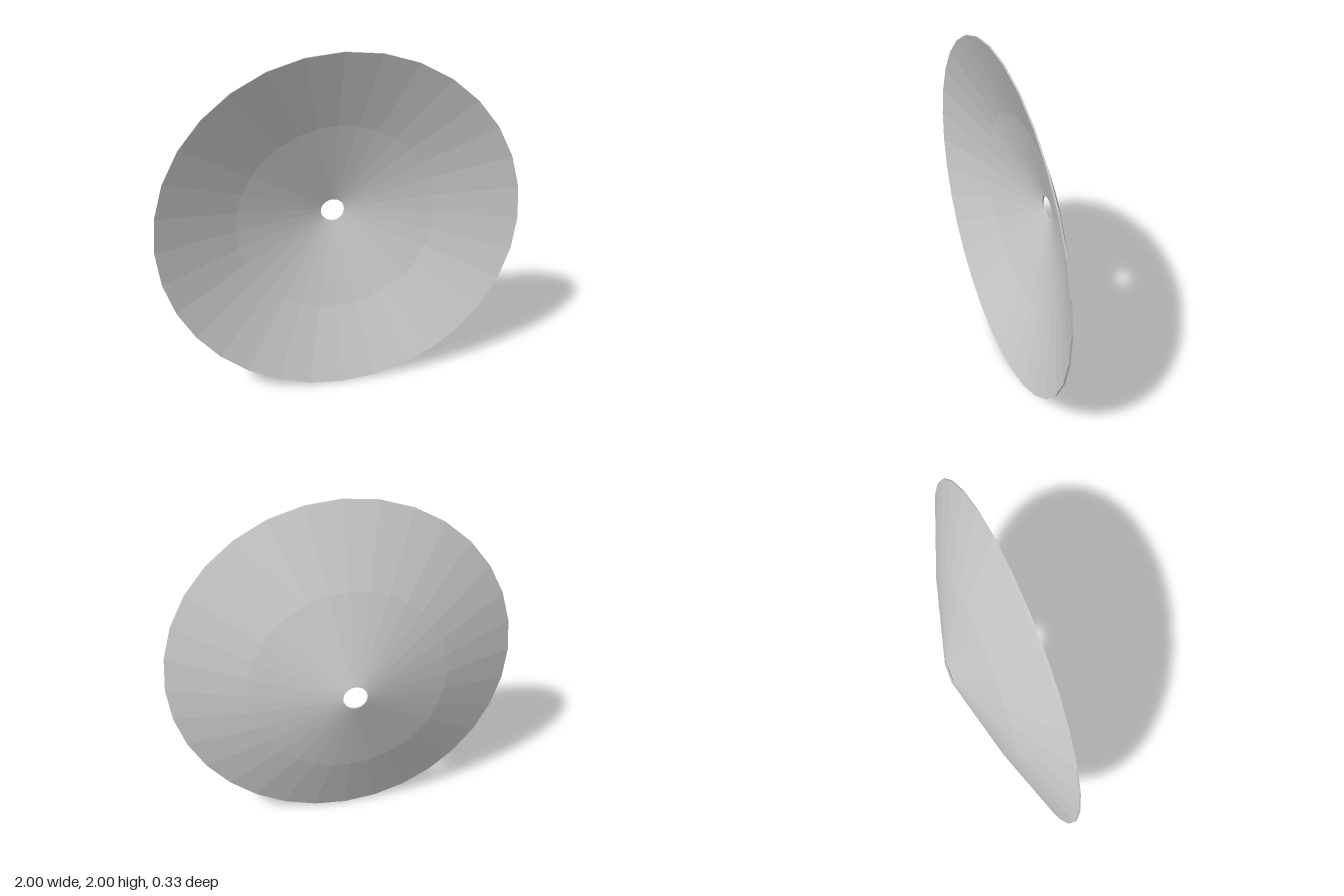
import * as THREE from 'three';

export function createModel() {
  const group = new THREE.Group();
  const material = new THREE.MeshStandardMaterial({ color: 0xcccccc, flatShading: true });

  // Closed profile (radius, depth): back shell outwards, rim, front shell inwards, hole wall
  const profile = [
    [0.068, -0.163], [0.565, -0.021], [1, 0.141],
    [1, 0.150], [0.565, -0.011], [0.068, -0.153], [0.068, -0.163],
  ].map(([r, d]) => new THREE.Vector2(r, d));

  // Shallow two-slope cone with a centre hole, facing forward and leaning slightly
  const dish = new THREE.Mesh(new THREE.LatheGeometry(profile, 32), material);
  dish.name = 'dish';
  dish.rotation.x = Math.PI / 2 + 0.0155;
  dish.position.y = 1.0025;
  group.add(dish);

  return group;
}
